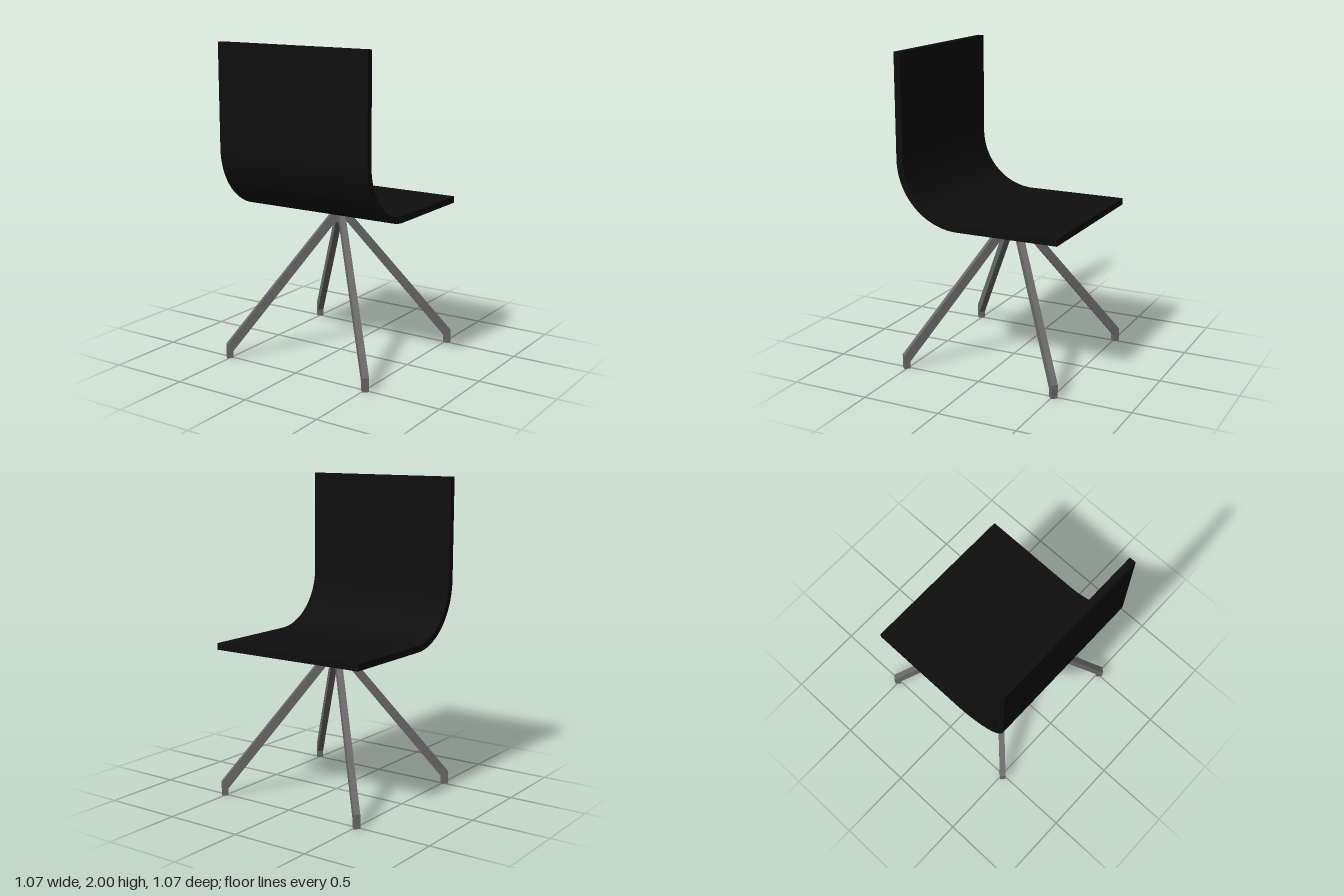
import * as THREE from 'three';
import { toCreasedNormals } from 'three/addons/utils/BufferGeometryUtils.js';

// Extrude a side profile and centre it across its width
function extrudeCentred(shape, width) {
  const g = new THREE.ExtrudeGeometry(shape, { depth: width, bevelEnabled: false, curveSegments: 24 });
  return g.translate(0, 0, -width / 2);
}

export function createModel() {
  const group = new THREE.Group();
  const black = new THREE.MeshStandardMaterial({ color: 0x0e0e0e });
  black.name = 'black shell';
  const grey = new THREE.MeshStandardMaterial({ color: 0x6c6c6c });
  grey.name = 'grey metal';

  // Bent sheet: flat seat, quarter bend, upright back
  const half = 0.53, thick = 0.042, under = 0.945, radius = 0.41;
  const cz = half - radius, cy = under + radius;
  const profile = new THREE.Shape();
  profile.moveTo(-half, under);
  profile.lineTo(cz, under);
  profile.absarc(cz, cy, radius, -Math.PI / 2, 0, false);
  profile.lineTo(half, 2);
  profile.lineTo(half - thick, 2);
  profile.lineTo(half - thick, cy);
  profile.absarc(cz, cy, radius - thick, 0, -Math.PI / 2, true);
  profile.lineTo(-half, under + thick);
  profile.closePath();
  const shellGeometry = toCreasedNormals(extrudeCentred(profile, half * 2).rotateY(-Math.PI / 2), 0.5);
  const shell = new THREE.Mesh(shellGeometry, black);
  shell.name = 'seatShell';
  group.add(shell);

  // Four diagonal legs, each with a short upright foot
  const legShape = new THREE.Shape([
    [0.70, 0], [0.74, 0], [0.74, 0.087], [0.035, 0.945],
    [0, 0.945], [0, 0.87], [0.043, 0.852], [0.70, 0.045],
  ].map(([r, y]) => new THREE.Vector2(r, y)));
  const legGeometry = extrudeCentred(legShape, 0.039);
  const names = ['backLeftLeg', 'backRightLeg', 'frontRightLeg', 'frontLeftLeg'];
  names.forEach((name, i) => {
    const leg = new THREE.Mesh(legGeometry, grey);
    leg.name = name;
    leg.rotation.y = Math.PI / 4 + i * Math.PI / 2;
    group.add(leg);
  });

  // Small post where the legs meet
  const post = new THREE.Mesh(new THREE.BoxGeometry(0.034, 0.095, 0.034), grey);
  post.name = 'centrePost';
  post.position.y = 0.8985;
  group.add(post);

  return group;
}
